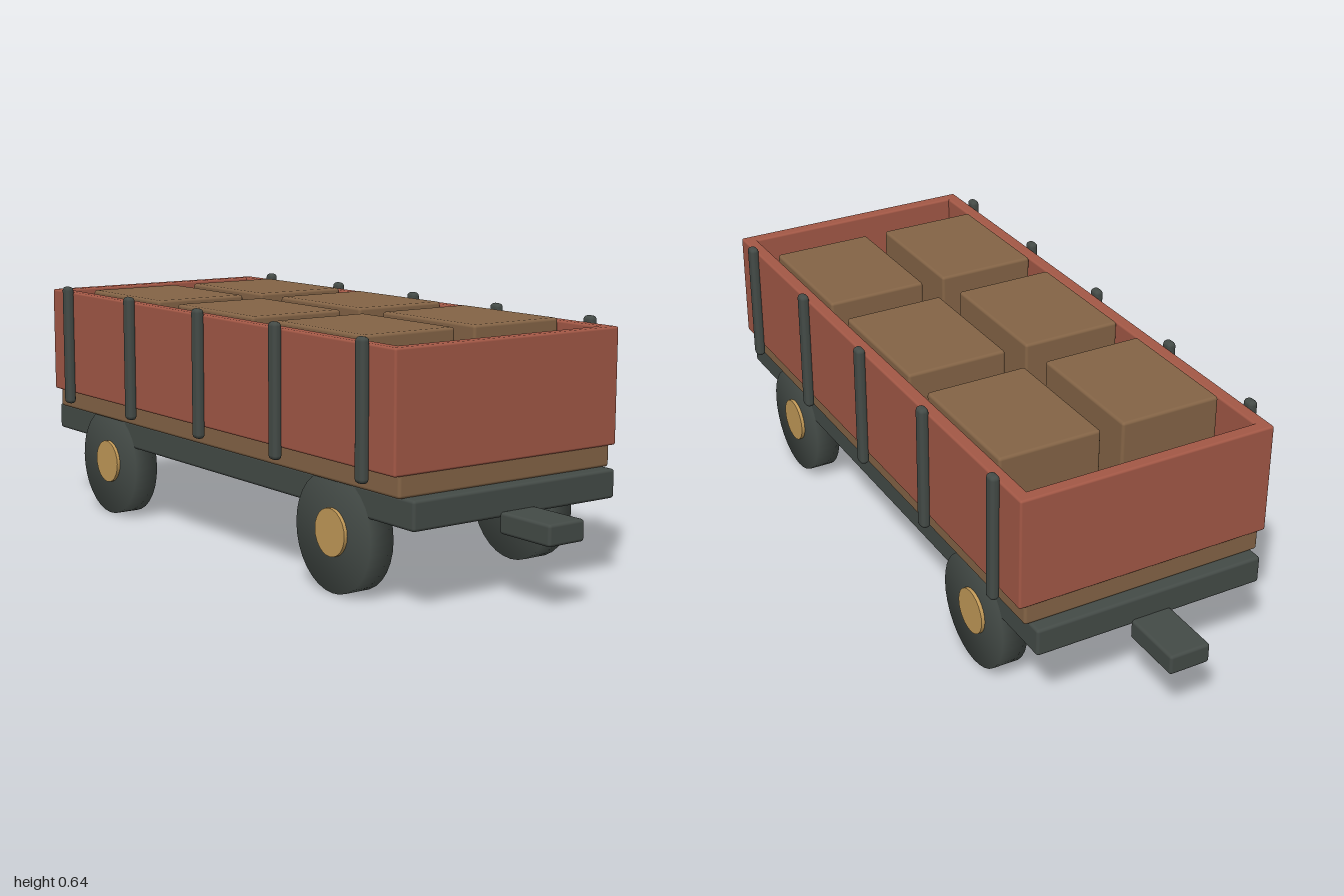
import * as THREE from 'three';
import { RoundedBoxGeometry } from 'three/addons/geometries/RoundedBoxGeometry.js';

const material = (name, color) => {
  const m = new THREE.MeshStandardMaterial({ color });
  m.name = name;
  return m;
};

export function createModel() {
  const red = material('red paint', 0xa35846);
  const wood = material('brown wood', 0x846446);
  const iron = material('dark iron', 0x444b47);
  const brass = material('brass', 0xc39a58);

  const wagon = new THREE.Group();
  wagon.name = 'wagon';

  const add = (name, geometry, mat, x, y, z) => {
    const mesh = new THREE.Mesh(geometry, mat);
    mesh.name = name;
    mesh.position.set(x, y, z);
    wagon.add(mesh);
    return mesh;
  };
  // Rounded box given by its size, bottom height and centre
  const box = (name, mat, w, h, d, x, bottom, z, r = 0.008) =>
    add(name, new RoundedBoxGeometry(w, h, d, 2, r), mat, x, bottom + h / 2, z);

  // Chassis and load floor
  box('chassis', iron, 0.628, 0.073, 1.67, 0, 0.205, 0);
  box('floor', wood, 0.656, 0.06, 1.6, 0, 0.276, 0);

  // Couplers and end walls
  for (const s of [1, -1]) {
    box('coupler', iron, 0.11, 0.053, 0.17, 0, 0.166, s * 0.915);
    box('endWall', red, 0.69, 0.292, 0.035, 0, 0.329, s * 0.787, 0.006);
  }

  // Wheel disc with softly blended edges, and its hub cap
  const wheelShape = new THREE.LatheGeometry(
    [[0, -0.034], [0.148, -0.034], [0.148, 0.034], [0, 0.034]].map(([r, y]) => new THREE.Vector2(r, y)), 32);
  const hubShape = new THREE.CylinderGeometry(0.059, 0.059, 0.02, 24);
  for (const g of [wheelShape, hubShape]) g.rotateZ(-Math.PI / 2);

  for (const s of [1, -1]) {
    // Side walls with upright stakes
    box('sideWall', red, 0.035, 0.292, 1.608, s * 0.3275, 0.329, 0, 0.006);
    for (const z of [-0.695, -0.348, 0, 0.348, 0.695])
      box('stake', iron, 0.025, 0.338, 0.034, s * 0.354, 0.299, z, 0.011);

    // Wheels
    for (const z of [-0.535, 0.535]) {
      add('wheel', wheelShape, iron, s * 0.284, 0.148, z);
      add('hub', hubShape, brass, s * 0.317, 0.15, z);
    }

    // Crates
    for (const z of [-0.455, 0, 0.455])
      box('crate', wood, 0.274, 0.296, 0.36, s * 0.167, 0.333, z);
  }
  return wagon;
}
